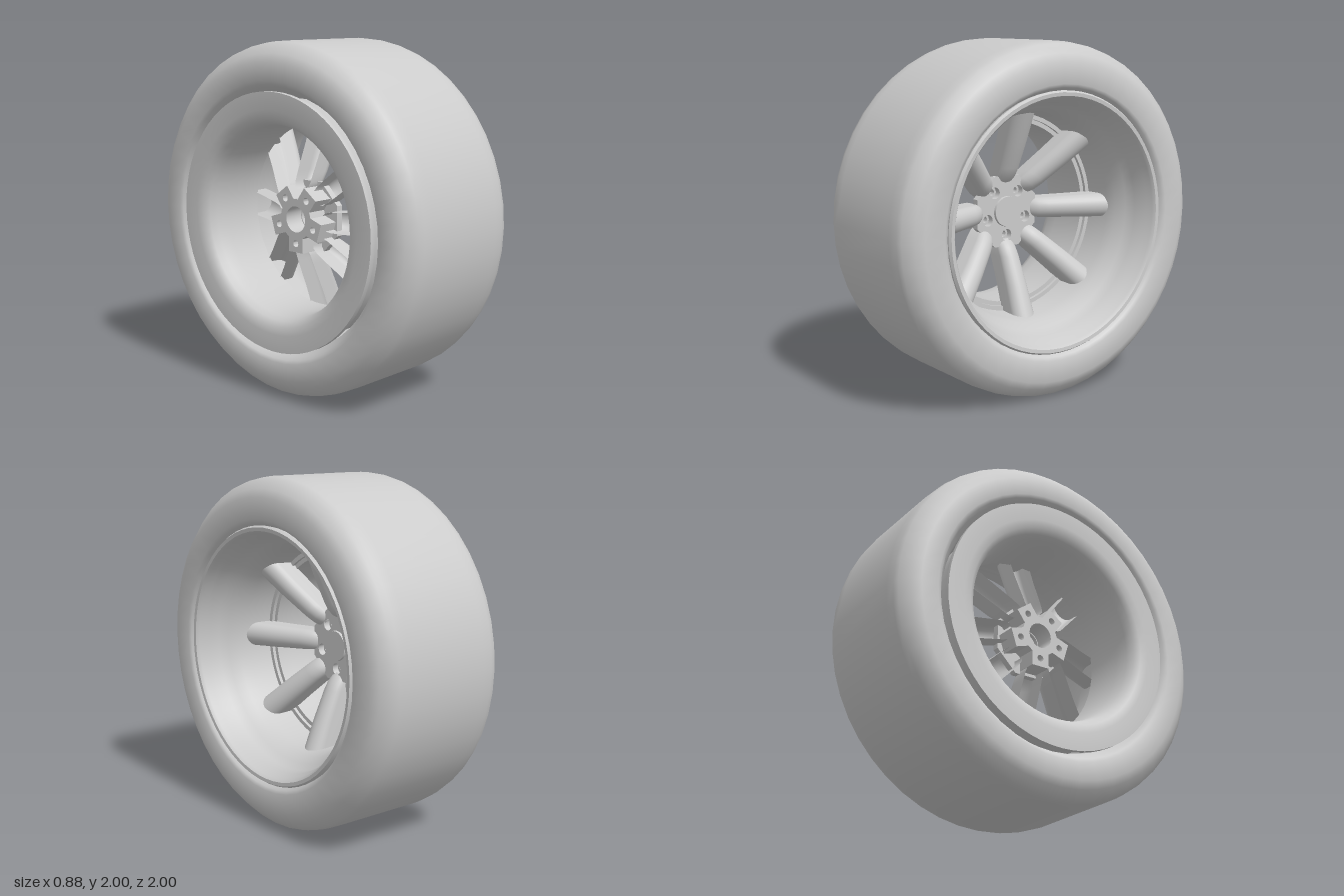
import * as THREE from 'three';
import { toCreasedNormals } from 'three/addons/utils/BufferGeometryUtils.js';

const mat = new THREE.MeshStandardMaterial({ color: 0xcccccc, side: THREE.DoubleSide });

// The wheel is modelled with its axle along z (outer face +z), then turned to +x.
function add(parent, name, geometry) {
  const mesh = new THREE.Mesh(geometry, mat);
  mesh.name = name;
  parent.add(mesh);
  return mesh;
}

// Closed ring from [radius, axial] points
function ring(points, segments, crease) {
  const pts = points.map(([r, a]) => new THREE.Vector2(r, a));
  pts.push(pts[0].clone());
  const g = new THREE.LatheGeometry(pts, segments).rotateX(Math.PI / 2);
  return toCreasedNormals(g, crease);
}

function circleHole(x, y, r) {
  return new THREE.Path().absarc(x, y, r, 0, Math.PI * 2, true);
}

const boltAngles = [0, 1, 2, 3, 4].map(k => -Math.PI / 2 + k * Math.PI * 2 / 5);

// Flat plate with five bolt holes, from axial position z0 to z1
function plate(outline, holeRadius, boreRadius, z0, z1) {
  const shape = new THREE.Shape(outline);
  for (const a of boltAngles) {
    shape.holes.push(circleHole(0.14 * Math.cos(a), 0.14 * Math.sin(a), holeRadius));
  }
  shape.holes.push(circleHole(0, 0, boreRadius));
  const g = new THREE.ExtrudeGeometry(shape, { depth: z1 - z0, bevelEnabled: false, curveSegments: 10 });
  return toCreasedNormals(g.translate(0, 0, z0), 0.7);
}

// Arched spoke, open at the back, pointing along +y
function spokeGeometry() {
  // stations: [radius, half width, back, crest]
  const stations = [
    [0.165, 0.035, -0.20, -0.10],
    [0.18, 0.05, -0.20, -0.075],
    [0.21, 0.058, -0.19, -0.045],
    [0.26, 0.061, -0.17, -0.015],
    [0.42, 0.066, -0.10, 0.06],
    [0.60, 0.072, -0.03, 0.135],
  ];
  const arc = 12, n = arc + 3, pos = [], index = [];
  stations.forEach(([r, w, back, crest], j) => {
    const rise = Math.min(w, crest - back);
    pos.push(w, r, back);
    for (let i = 0; i <= arc; i++) {
      const t = Math.PI * i / arc;
      pos.push(w * Math.cos(t), r, crest - rise + rise * Math.sin(t));
    }
    pos.push(-w, r, back);
    if (j === 0) return;
    for (let i = 0; i < n - 1; i++) {
      const a = (j - 1) * n + i, d = a + n;
      index.push(a, d, a + 1, a + 1, d, d + 1);
    }
  });
  const g = new THREE.BufferGeometry();
  g.setAttribute('position', new THREE.Float32BufferAttribute(pos, 3));
  g.setIndex(index);
  g.computeVertexNormals();
  return g;
}

export function createModel() {
  const model = new THREE.Group();
  model.name = 'wheel';
  const wheel = new THREE.Group();
  wheel.name = 'wheelAssembly';
  wheel.rotation.y = Math.PI / 2;
  wheel.position.y = 1;
  model.add(wheel);

  // Smooth tyre with rounded shoulders
  add(wheel, 'tire', ring([
    [0.72, -0.35], [0.755, -0.40], [0.77, -0.43], [0.79, -0.44], [0.89, -0.44],
    [0.935, -0.415], [0.985, -0.365], [0.995, -0.33], [1, -0.27],
    [1, 0.27], [0.995, 0.33], [0.985, 0.365], [0.935, 0.415],
    [0.89, 0.44], [0.77, 0.44], [0.75, 0.43], [0.735, 0.40], [0.71, 0.35],
  ], 48, 0.9));

  // Rim: stepped outer lip, deep dish, spoke ledge, rear barrel and rear flange
  add(wheel, 'rim', ring([
    [0.73, -0.44], [0.73, -0.41], [0.69, -0.36], [0.66, 0], [0.70, 0.35],
    [0.73, 0.39], [0.735, 0.415], [0.725, 0.43], [0.705, 0.428], [0.692, 0.41],
    [0.685, 0.37], [0.67, 0.35], [0.663, 0.29], [0.635, 0.24], [0.605, 0.18],
    [0.59, 0.12], [0.58, -0.03], [0.555, -0.03], [0.555, -0.05], [0.53, -0.05],
    [0.53, -0.15], [0.532, -0.28], [0.54, -0.36], [0.555, -0.405], [0.585, -0.43], [0.63, -0.44],
  ], 64, 0.7));

  // Eight spokes
  const spoke = spokeGeometry();
  for (let k = 0; k < 8; k++) {
    add(wheel, 'spoke', spoke).rotation.z = k * Math.PI / 4;
  }

  // Hub face, its corners lying between the spokes
  const octagon = [];
  for (let k = 0; k < 8; k++) {
    const a = (k + 0.5) * Math.PI / 4;
    octagon.push(new THREE.Vector2(0.225 * Math.cos(a), 0.225 * Math.sin(a)));
  }
  add(wheel, 'hubFace', plate(octagon, 0.034, 0.07, -0.13, -0.09));

  // Five-lobed mounting pad at the back of the hub
  const lobes = [];
  for (const a of boltAngles) {
    for (const [r, s] of [[0.105, -0.055], [0.19, -0.055], [0.19, 0.055], [0.105, 0.055]]) {
      lobes.push(new THREE.Vector2(r * Math.cos(a) - s * Math.sin(a), r * Math.sin(a) + s * Math.cos(a)));
    }
  }
  add(wheel, 'mountingPad', plate(lobes, 0.02, 0.075, -0.25, -0.13));

  // Centre cap
  add(wheel, 'centreCap', new THREE.CylinderGeometry(0.088, 0.092, 0.03, 32)
    .rotateX(Math.PI / 2).translate(0, 0, -0.09));

  return model;
}
